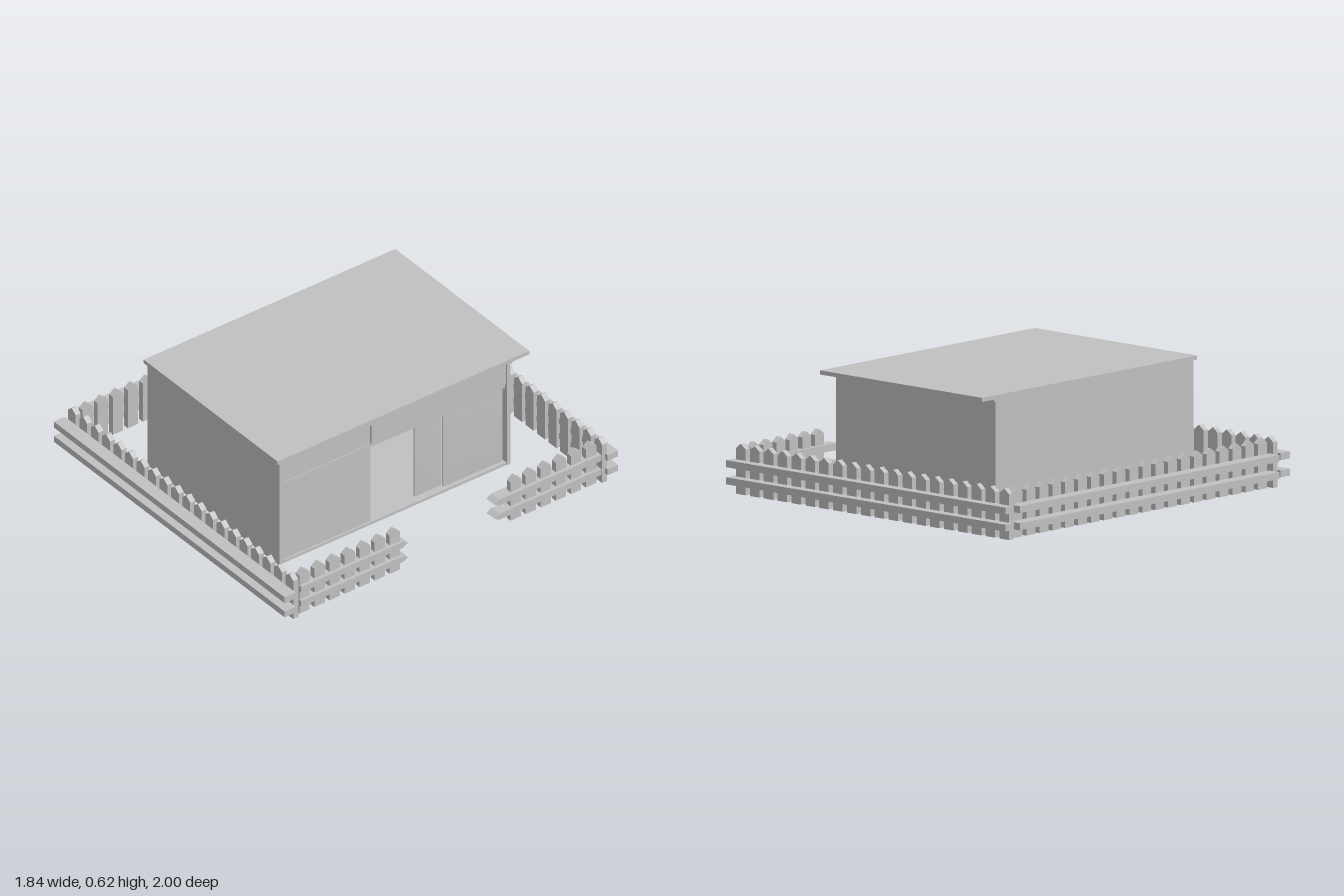
import * as THREE from 'three';
import { mergeVertices } from 'three/addons/utils/BufferGeometryUtils.js';

const grey = new THREE.MeshStandardMaterial({ color: 0xc0c0c0 });
grey.name = 'plain grey';

function add(parent, name, geometry) {
  const mesh = new THREE.Mesh(geometry, grey);
  mesh.name = name;
  parent.add(mesh);
  return mesh;
}

// Box given by its limits on each axis
function box(parent, name, x0, x1, y0, y1, z0, z1) {
  const mesh = add(parent, name, new THREE.BoxGeometry(x1 - x0, y1 - y0, z1 - z0));
  mesh.position.set((x0 + x1) / 2, (y0 + y1) / 2, (z0 + z1) / 2);
  return mesh;
}

// Box whose corners share normals, for the softly shaded sliding doors
function softBox(parent, name, ...limits) {
  const mesh = box(parent, name, ...limits);
  let g = mesh.geometry;
  g.deleteAttribute('normal');
  g.deleteAttribute('uv');
  g = mergeVertices(g);
  g.computeVertexNormals();
  mesh.geometry = g;
}

function extrude(points, depth) {
  const shape = new THREE.Shape(points.map(([x, y]) => new THREE.Vector2(x, y)));
  return new THREE.ExtrudeGeometry(shape, { depth, bevelEnabled: false }).translate(0, 0, -depth / 2);
}

const picket = extrude([[-0.031, 0], [0.031, 0], [0.031, 0.222], [0, 0.246], [-0.031, 0.222]], 0.03);
const railHeights = [0.067, 0.15];

// Row of pickets; along is the axis on which the row runs
function pickets(parent, along, across, start, count) {
  for (let i = 0; i < count; i++) {
    const p = add(parent, 'picket', picket);
    const s = start + i * 0.0902;
    if (along === 'x') p.position.set(s, 0, across);
    else {
      p.position.set(across, 0, s);
      p.rotation.y = Math.PI / 2;
    }
  }
}

function createFence() {
  const fence = new THREE.Group();
  fence.name = 'fence';

  const front = new THREE.Group();
  front.name = 'frontFence';
  pickets(front, 'x', 0.915, -0.847, 20);
  const back = new THREE.Group();
  back.name = 'backFence';
  pickets(back, 'x', -0.935, -0.847, 20);
  const side = new THREE.Group();
  side.name = 'sideFence';
  pickets(side, 'z', -0.845, -0.867, 20);
  for (const y of railHeights) {
    box(front, 'rail', -0.9, 0.918, y - 0.017, y + 0.017, 0.93, 0.997);
    box(back, 'rail', -0.9, 0.918, y - 0.017, y + 0.017, -1, -0.937);
    box(side, 'rail', -0.926, -0.86, y - 0.017, y + 0.017, -0.926, 0.892);
  }

  // Two short runs beside the gateway, with pointed rail ends
  const gate = new THREE.Group();
  gate.name = 'gatewayFence';
  pickets(gate, 'z', 0.865, -0.867, 6);
  pickets(gate, 'z', 0.865, 0.308, 7);
  for (const y of railHeights) {
    for (const [end, tip] of [[-0.915, -0.275], [0.882, 0.242]]) {
      const length = Math.abs(end - tip);
      const rail = add(gate, 'pointedRail', extrude(
        [[0, -0.017], [length - 0.03, -0.017], [length, 0], [length - 0.03, 0.017], [0, 0.017]], 0.064));
      rail.position.set(0.865, y, end);
      rail.rotation.y = tip > end ? -Math.PI / 2 : Math.PI / 2;
    }
  }
  fence.add(front, back, side, gate);
  return fence;
}

function createHouse() {
  const house = new THREE.Group();
  house.name = 'house';
  box(house, 'floor', -0.525, 0.508, 0.005, 0.02, -0.663, 0.718);
  box(house, 'roof', -0.537, 0.518, 0.602, 0.622, -0.772, 0.735);
  box(house, 'frontWall', -0.527, 0.511, 0.005, 0.602, 0.692, 0.72);
  box(house, 'backWall', -0.527, 0.511, 0.005, 0.602, -0.665, -0.643);
  box(house, 'backTrim', -0.527, 0.511, 0.588, 0.602, -0.677, -0.665);
  box(house, 'closedSideWall', -0.527, -0.502, 0.02, 0.602, -0.643, 0.692);

  // Entrance side: solid panel, panels above it and the doorway, header
  box(house, 'lowerPanel', 0.475, 0.498, 0.02, 0.465, 0.163, 0.692);
  box(house, 'upperPanel', 0.475, 0.493, 0.465, 0.582, 0.163, 0.692);
  box(house, 'topBeam', 0.475, 0.505, 0.582, 0.602, 0.163, 0.692);
  box(house, 'doorwayPanel', 0.475, 0.505, 0.477, 0.602, -0.643, 0.163);
  box(house, 'doorHeader', 0.45, 0.498, 0.45, 0.477, -0.643, 0.163);
  softBox(house, 'innerSlidingDoor', 0.455, 0.468, 0.02, 0.45, -0.285, -0.127);
  softBox(house, 'outerSlidingDoor', 0.473, 0.486, 0.02, 0.45, -0.637, -0.283);
  return house;
}

// Fittings glimpsed through the doorway
function createFittings() {
  const room = new THREE.Group();
  room.name = 'fittings';
  box(room, 'counter', -0.5, -0.3, 0.02, 0.145, -0.32, -0.07);
  box(room, 'counterTop', -0.5, -0.29, 0.145, 0.153, -0.325, -0.06);
  box(room, 'seatBase', -0.45, -0.32, 0.02, 0.08, -0.04, 0.04);
  box(room, 'seatTop', -0.45, -0.31, 0.08, 0.088, -0.045, 0.045);
  box(room, 'seatBack', -0.45, -0.4, 0.088, 0.118, -0.035, 0.03);
  box(room, 'sideCabinet', -0.5, -0.35, 0.02, 0.14, 0.125, 0.26);
  const spout = new THREE.CatmullRomCurve3([
    [-0.42, 0.15, -0.12], [-0.42, 0.23, -0.12], [-0.41, 0.253, -0.1], [-0.4, 0.24, -0.08], [-0.4, 0.225, -0.075],
  ].map((p) => new THREE.Vector3(...p)));
  add(room, 'tap', new THREE.TubeGeometry(spout, 16, 0.006, 8));
  return room;
}

export function createModel() {
  const model = new THREE.Group();
  model.name = 'fencedCabin';
  model.add(createHouse(), createFittings(), createFence());
  return model;
}
